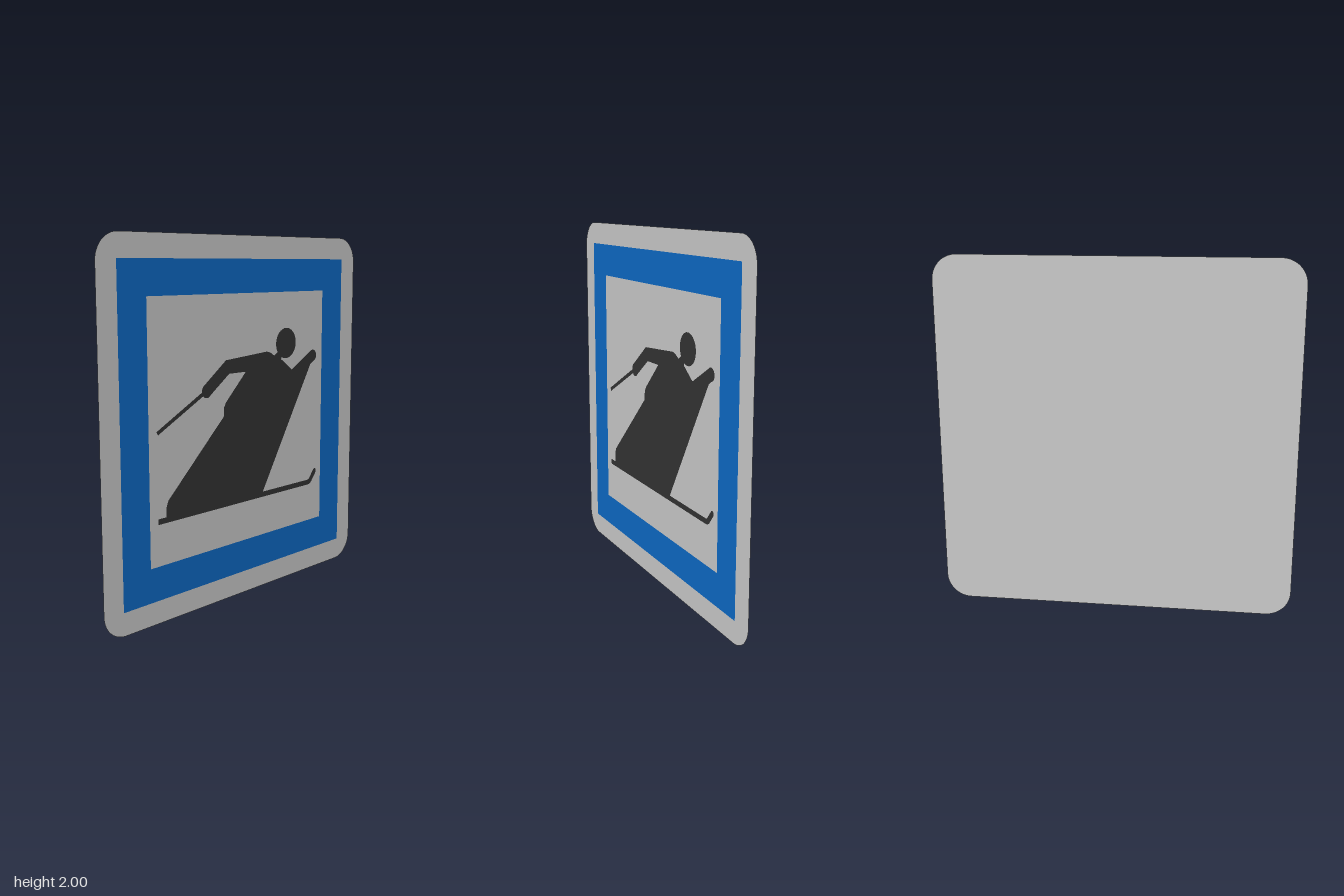
import * as THREE from 'three';

const grey = new THREE.MeshStandardMaterial({ color: 0xcccccc, side: THREE.DoubleSide });
const blue = new THREE.MeshStandardMaterial({ color: 0x0d6ac6 });
const black = new THREE.MeshStandardMaterial({ color: 0x333333 });
const LAYER = 0.002; // gap between plate and printed layer

const polygon = (points) => new THREE.Shape(points.map(([x, y]) => new THREE.Vector2(x, y)));

// Rectangle given by half width, centred on the plate
const square = (h) => polygon([[-h, 1 - h], [h, 1 - h], [h, 1 + h], [-h, 1 + h]]);

const disc = (x, y, r) => new THREE.Shape().absarc(x, y, r, 0, Math.PI * 2);

function roundedSquare(h, r) {
  const s = new THREE.Shape();
  const c = h - r;
  [[c, 1 + c], [-c, 1 + c], [-c, 1 - c], [c, 1 - c]].forEach(([x, y], i) =>
    s.absarc(x, y, r, i * Math.PI / 2, (i + 1) * Math.PI / 2));
  return s;
}

export function createModel() {
  const group = new THREE.Group();
  const add = (name, shapes, material, z) => {
    const mesh = new THREE.Mesh(new THREE.ShapeGeometry(shapes, 16), material);
    mesh.name = name;
    mesh.position.z = z;
    group.add(mesh);
  };

  // Sheet with rounded corners
  add('plate', roundedSquare(1, 0.14), grey, 0);

  // Square border
  const border = square(0.875);
  border.holes.push(square(0.692));
  add('border', border, blue, LAYER);

  // Skier: legs, torso, both arms and neck in one outline
  add('skierBody', polygon([
    [-0.58, 0.555], [0.163, 0.555], [0.585, 1.26], [0.632, 1.29], [0.59, 1.342],
    [0.415, 1.243], [0.32, 1.31], [0.325, 1.33], [0.36, 1.36], [0.33, 1.39],
    [0.29, 1.355], [0.26, 1.335], [0.225, 1.355], [0.195, 1.362], [-0.135, 1.338],
    [-0.305, 1.213], [-0.26, 1.156], [-0.11, 1.263], [0.022, 1.263], [-0.135, 1.11],
    [-0.15, 1.085], [-0.152, 1.035], [-0.565, 0.645], [-0.577, 0.615],
  ]), black, LAYER);
  add('skierHead', disc(0.362, 1.4, 0.087), black, LAYER);
  add('skierHands', [disc(-0.28, 1.185, 0.037), disc(0.605, 1.311, 0.035)], black, LAYER);

  // Pole trailing from the rear hand
  add('skiPole', polygon([[-0.63, 0.995], [-0.29, 1.17], [-0.3, 1.19], [-0.64, 1.013]]), black, LAYER);

  // Ski with an upturned tip
  const ski = new THREE.Shape();
  ski.moveTo(-0.635, 0.53);
  ski.lineTo(0.57, 0.53);
  ski.quadraticCurveTo(0.597, 0.53, 0.612, 0.55);
  ski.lineTo(0.652, 0.6);
  ski.quadraticCurveTo(0.65, 0.63, 0.627, 0.617);
  ski.lineTo(0.588, 0.569);
  ski.quadraticCurveTo(0.58, 0.56, 0.565, 0.56);
  ski.lineTo(-0.635, 0.56);
  add('ski', ski, black, LAYER);

  return group;
}
